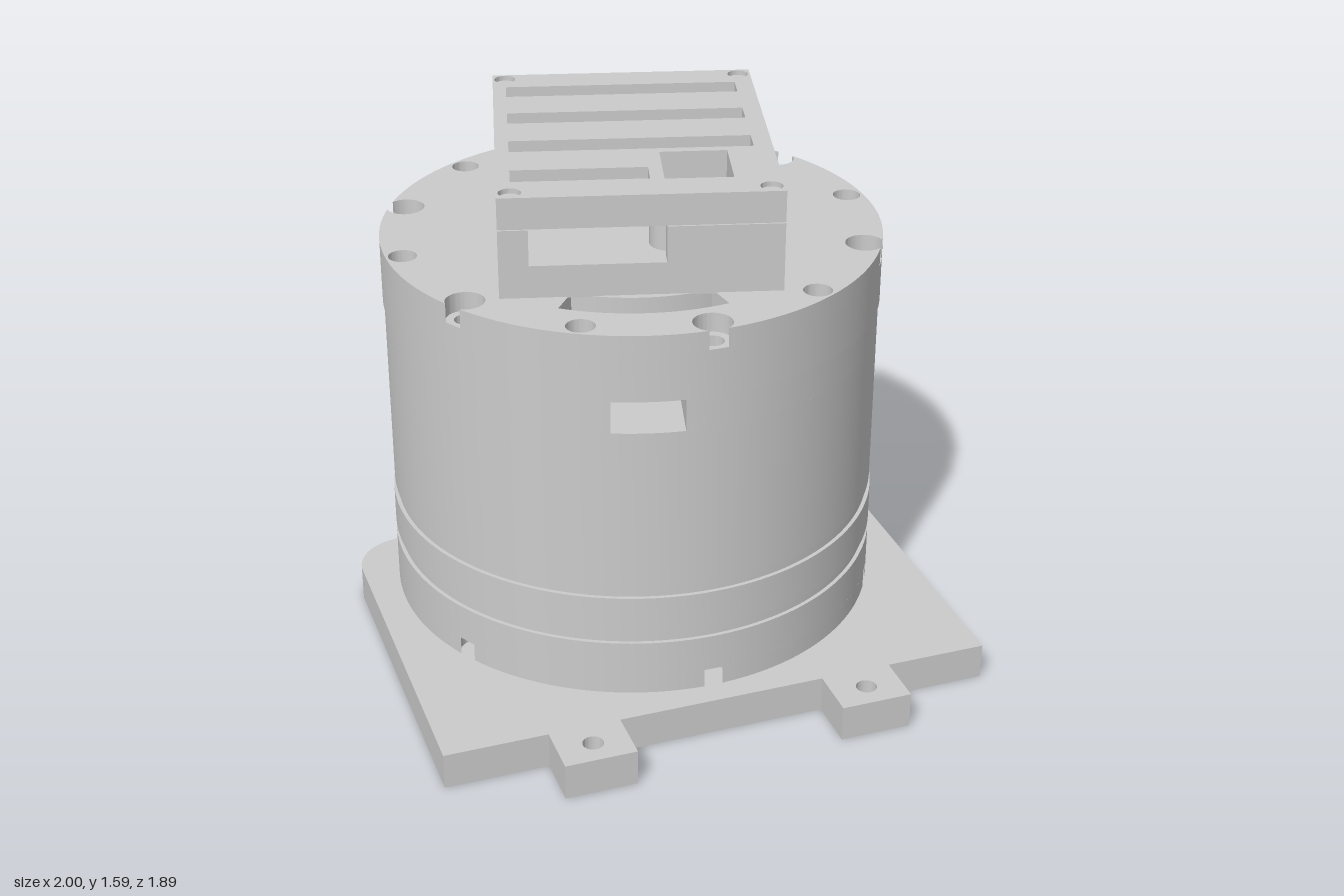
import * as THREE from 'three';
import { toCreasedNormals } from 'three/addons/utils/BufferGeometryUtils.js';

const material = new THREE.MeshStandardMaterial({ color: 0xcccccc });
const CX = 0.145, CZ = -0.195;
const SIXTH = Math.PI / 3;

// Upright slab between two heights; shape y points to the back (-z)
function slab(name, shape, y0, y1, segments = 24) {
  const geo = new THREE.ExtrudeGeometry(shape, { depth: y1 - y0, bevelEnabled: false, curveSegments: segments });
  geo.rotateX(-Math.PI / 2);
  geo.translate(0, y0, 0);
  const mesh = new THREE.Mesh(toCreasedNormals(geo, 0.5), material);
  mesh.name = name;
  return mesh;
}

function polygon(points) {
  return new THREE.Shape(points.map(([x, y]) => new THREE.Vector2(x, y)));
}

function rect(x0, x1, y0, y1) {
  return polygon([[x0, y0], [x1, y0], [x1, y1], [x0, y1]]);
}

function hole(x, y, r) {
  const p = new THREE.Path();
  p.absarc(x, y, r, 0, Math.PI * 2, true);
  return p;
}

// Equal holes on a circle
function ringOfHoles(count, radius, r, offset = 0) {
  return Array.from({ length: count }, (_, i) => {
    const a = offset + (i * Math.PI * 2) / count;
    return hole(radius * Math.cos(a), radius * Math.sin(a), r);
  });
}

function disc(R, holes = []) {
  const s = new THREE.Shape();
  s.absarc(0, 0, R, 0, Math.PI * 2, false);
  s.holes.push(...holes);
  return s;
}

// Disc whose six counterbores break through the rim
function notchedDisc(R, holes) {
  const c = 0.7, r = 0.057;
  const d = Math.acos((R * R + c * c - r * r) / (2 * R * c));
  const phi = Math.atan2(R * Math.sin(d), R * Math.cos(d) - c);
  const s = new THREE.Shape();
  for (let k = 0; k < 6; k++) {
    const a = k * SIXTH, b = a + SIXTH;
    s.absarc(0, 0, R, a + d, b - d, false);
    s.absarc(c * Math.cos(b), c * Math.sin(b), r, b - phi, b + phi, true);
  }
  s.holes.push(...holes);
  return s;
}

// Curved cable slot in the top cap
function cableSlot() {
  const a = Math.PI * 1.25, h = 0.4;
  const p = new THREE.Path();
  p.absarc(0, 0, 0.61, a - h, a + h, false);
  p.absarc(0, 0, 0.51, a + h, a - h, true);
  p.closePath();
  return p;
}

// Barrel section with a side opening for the cable
function openDisc(R, holes) {
  const a = Math.PI * 1.25, w = 0.105, d = Math.asin(w / R);
  const s = new THREE.Shape();
  s.absarc(0, 0, R, a + d, a - d + Math.PI * 2, false);
  for (const side of [-w, w]) {
    s.lineTo(0.51 * Math.cos(a) - side * Math.sin(a), 0.51 * Math.sin(a) + side * Math.cos(a));
  }
  s.closePath();
  s.holes.push(...holes);
  return s;
}

function createBody() {
  const g = new THREE.Group();
  g.name = 'motorBody';
  const through = () => ringOfHoles(6, 0.7, 0.033);
  const pockets = () => ringOfHoles(6, 0.7, 0.042, SIXTH / 2);
  const recess = () => hole(0, 0, 0.42);
  g.add(
    slab('bottomRim', notchedDisc(0.75, [...pockets(), recess()]), 0.112, 0.17),
    slab('bottomRing', disc(0.75, through()), 0.17, 0.285, 96),
    slab('lowerGroove', disc(0.738, through()), 0.285, 0.318, 96),
    slab('middleRing', disc(0.75, through()), 0.318, 0.44, 96),
    slab('upperGroove', disc(0.738, through()), 0.44, 0.472, 96),
    slab('barrel', disc(0.746, through()), 0.472, 0.98, 96),
    slab('barrelTop', openDisc(0.746, through()), 0.98, 1.08, 96),
    slab('topRing', disc(0.75, [...through(), cableSlot()]), 1.08, 1.225, 96),
    slab('topRim', notchedDisc(0.75, [...pockets(), cableSlot()]), 1.225, 1.283),
    // Output flange inside the bottom recess
    slab('outputFlange', disc(0.405, ringOfHoles(9, 0.325, 0.052)), 0.125, 0.17, 64),
  );
  return g;
}

function createBasePlate() {
  const e = -0.826, t = -0.985, tip = 0.155;
  const s = new THREE.Shape();
  // Front edge with two tabs
  [[-0.843, e], [-0.532, e], [-0.532, t], [-0.316, t], [-0.316, e],
    [0.316, e], [0.316, t], [0.532, t], [0.532, e], [0.843, e]]
    .forEach(([x, y], i) => (i ? s.lineTo(x, y) : s.moveTo(x, y)));
  // Rounded arms around a U-shaped clearance
  s.absarc(0.688, 0.205, tip, 0, Math.PI, false);
  s.absarc(0, 0, 0.463, 0.1, -Math.PI - 0.1, true);
  s.absarc(-0.688, 0.205, tip, 0, Math.PI, false);
  s.closePath();
  for (const m of [-1, 1]) {
    s.holes.push(hole(m * 0.424, -0.906, 0.031), hole(m * 0.65, 0, 0.027), hole(m * 0.33, -0.58, 0.027));
  }
  const plate = slab('basePlate', s, 0, 0.112, 32);
  plate.rotation.y = -Math.PI / 6;
  return plate;
}

function createHousing() {
  const g = new THREE.Group();
  g.name = 'electronicsHousing';
  const U = 0.49, V = 0.4, T = 0.055, y0 = 1.28, sill = 1.38, y1 = 1.488;

  // Lower frame and floor
  const frame = rect(-U, U, -V, V);
  frame.holes.push(rect(-U + T, U - T, -V + T, V - T));
  g.add(slab('lowerWalls', frame, y0, sill));
  g.add(slab('circuitBoard', rect(-U + T, U - T, -V + T, V - T), y0, 1.31));

  // Upper walls, leaving the cable windows open
  const piers = [
    [-U, -U + T, 0.315, V], [-U, -U + T, -V, -0.07],
    [U - T, U, -V, -0.315], [U - T, U, 0.08, 0.16], [U - T, U, 0.335, V],
    [-U, 0.02, V - T, V], [0.35, U, V - T, V],
    [-U, U, -V, -V + T],
  ];
  for (const p of piers) g.add(slab('wallPier', rect(...p), sill, y1));
  const standoff = slab('standoff', disc(0.06, [hole(0, 0, 0.03)]), 1.31, 1.4);
  standoff.position.set(-0.2, 0, 0.1);
  g.add(standoff);

  // Lid with four vents, a square window and corner screw holes
  const lid = rect(-U, U, -V, V);
  for (const u of [0.34, 0.115, -0.11]) lid.holes.push(rect(u - 0.042, u + 0.042, -0.345, 0.36));
  lid.holes.push(rect(-0.375, -0.291, -0.03, 0.36), rect(-0.38, -0.18, -0.265, -0.07));
  for (const su of [-1, 1]) {
    for (const sv of [-1, 1]) {
      lid.holes.push(hole(su * 0.452, sv * 0.362, 0.032));
      const screw = slab('lidScrew', disc(0.032), 1.45, 1.57);
      screw.position.set(su * 0.452, 0, sv * 0.362);
      g.add(screw);
    }
  }
  g.add(slab('lid', lid, 1.492, 1.585));
  // Thin seam below the lid
  const seam = rect(-U + 0.006, U - 0.006, -V + 0.006, V - 0.006);
  seam.holes.push(rect(-U + T, U - T, -V + T, V - T));
  g.add(slab('lidSeam', seam, y1, 1.492));
  g.rotation.y = Math.PI / 4;
  return g;
}

export function createModel() {
  const model = new THREE.Group();
  model.name = 'motorAssembly';
  model.add(createBasePlate(), createBody(), createHousing());
  for (const part of model.children) part.position.set(CX, 0, CZ);
  return model;
}
